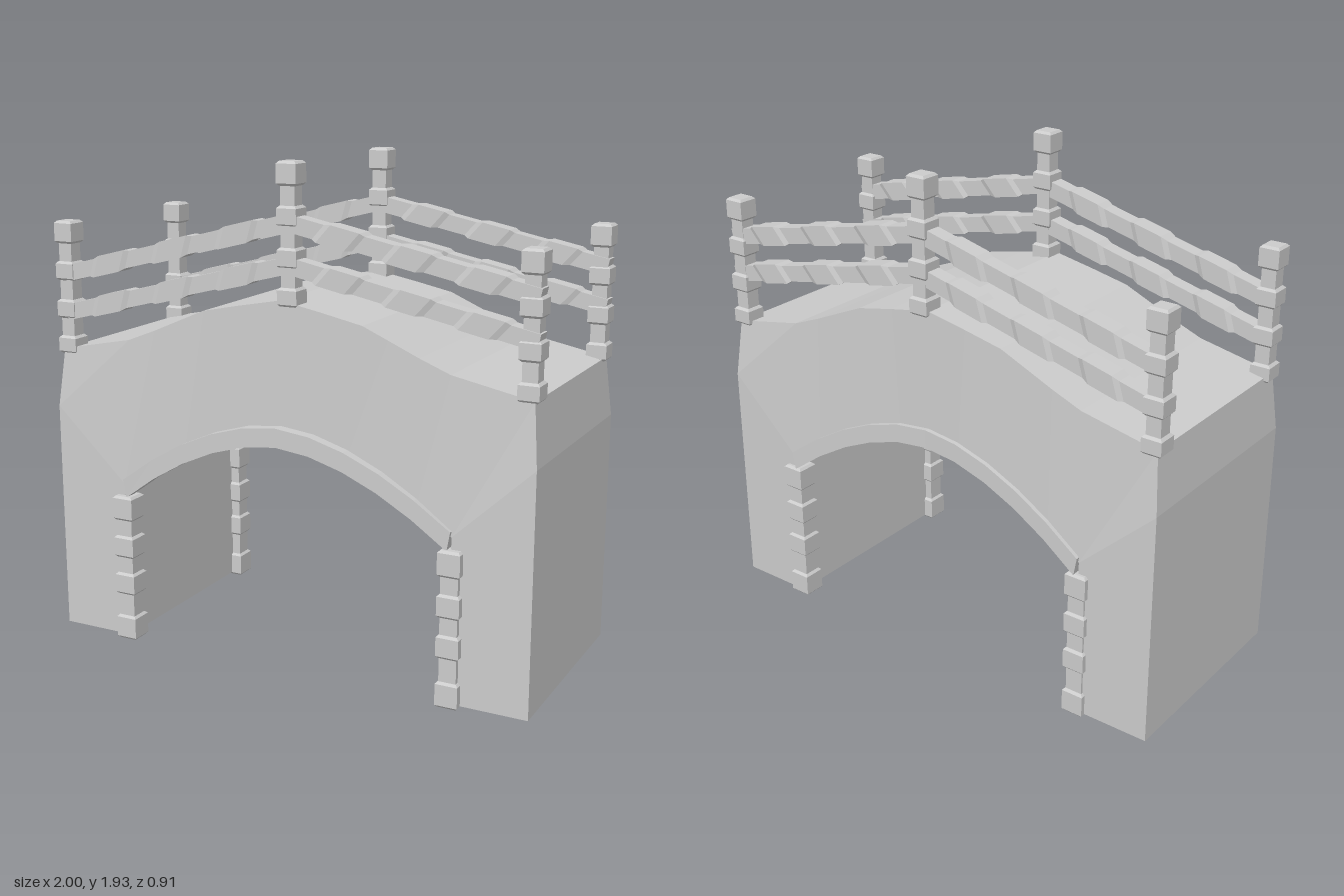
import * as THREE from 'three';

const mat = new THREE.MeshStandardMaterial({ color: 0xcccccc, flatShading: true });

// Arch curve from spring to spring, slightly pointed at the crown
const curve = (half, spring, crown) => Array.from({ length: 11 }, (_, i) => {
  const t = (i - 5) / 5;
  return [t * half, crown - (crown - spring) * Math.abs(t) ** 1.8];
});
const LEG = 0.695, FOOT = 0.01, HIP = 0.93;
const SOFFIT = curve(LEG, 0.645, 0.943);
const TRIM_OUT = curve(LEG, 0.667, 0.963);
const TRIM_IN = curve(0.682, 0.595, 0.89);
const DECK_HALF = [[-0.978, 1.162], [-0.67, 1.223], [-0.55, 1.27], [-0.43, 1.322], [-0.33, 1.365], [-0.17, 1.398], [0, 1.43]];
const DECK = [...DECK_HALF, ...DECK_HALF.slice(0, -1).reverse().map(([x, y]) => [-x, y])];

function add(parent, name, geometry) {
  const mesh = new THREE.Mesh(geometry, mat);
  mesh.name = name;
  parent.add(mesh);
  return mesh;
}

// Geometry from a list of four-cornered faces
function fromQuads(quads) {
  const g = new THREE.BufferGeometry();
  const pos = quads.flatMap(([a, b, c, d]) => [a, b, c, a, c, d].flat());
  g.setAttribute('position', new THREE.Float32BufferAttribute(pos, 3));
  g.computeVertexNormals();
  return g;
}

// Square bar along y from [halfWidth, y] pairs
function squareBar(profile) {
  const pts = profile.map(([h, y]) => new THREE.Vector2(h * Math.SQRT2, y));
  return new THREE.LatheGeometry(pts, 4, Math.PI / 4);
}

// Post with chamfered blocks; blocks are [bottom, top] pairs
function postGeometry(blocks, wide, thin) {
  const c = 0.009, p = [[0, blocks[0][0]]];
  blocks.forEach(([a, b], i) => {
    if (i) p.push([thin, a]);
    p.push([wide - c, a], [wide, a + c], [wide, b - c], [wide - c, b]);
    if (i < blocks.length - 1) p.push([thin, b]);
  });
  p.push([0, blocks[blocks.length - 1][1]]);
  return squareBar(p);
}

// Masonry body: walls swept around the outline, upright at the crown and leaning in at the ends
function bodyGeometry() {
  const lean = (x, y) => (y > 1.1 ? 0.025 : 0.018 * Math.max(0, 1 - (x / LEG) ** 2));
  const P = ([x, y], s) => [x, y, (s > 0 ? 0.427 : -0.44) - s * lean(x, y)];
  const outline = [[-1, FOOT], [-LEG, FOOT], ...SOFFIT, [LEG, FOOT], [1, FOOT], [1, HIP],
    ...[...DECK].reverse(), [-1, HIP]];
  const quads = outline.map((a, i) => {
    const b = outline[(i + 1) % outline.length];
    return [P(a, 1), P(a, -1), P(b, -1), P(b, 1)];
  });
  const face = (...q) => quads.push(q.map(p => P(p, 1)), q.map(p => P(p, -1)).reverse());
  face([-1, FOOT], [-LEG, FOOT], SOFFIT[0], [-1, HIP]);
  face([LEG, FOOT], [1, FOOT], [1, HIP], SOFFIT[SOFFIT.length - 1]);
  const low = [[-1, HIP], ...SOFFIT, [1, HIP]];
  for (let i = 0; i < low.length - 1; i++) face(low[i], low[i + 1], DECK[i + 1], DECK[i]);
  return fromQuads(quads);
}

// Thin raised trim following the arch, bowed slightly forwards at the crown
function trimGeometry() {
  const rings = TRIM_OUT.map((o, i) => {
    const n = TRIM_IN[i], z = 0.014 * (1 - (o[0] / LEG) ** 2);
    return [[...n, z + 0.045], [...o, z + 0.045], [...o, z], [...n, z]];
  });
  const last = rings.length - 1;
  const quads = [rings[0], [...rings[last]].reverse()];
  for (let i = 0; i < last; i++)
    for (let k = 0; k < 4; k++) {
      const m = (k + 1) % 4;
      quads.push([rings[i][k], rings[i + 1][k], rings[i + 1][m], rings[i][m]]);
    }
  return fromQuads(quads);
}

// Rail along +x with alternating thick and thin stretches and slanted steps
function railGeometry(length) {
  const n = 7, step = length / n, e = 0.012, p = [[0, 0]];
  for (let i = 0; i < n; i++) {
    const h = i % 2 ? 0.038 : 0.031;
    p.push([h, i * step + (i ? e : 0)], [h, (i + 1) * step - (i < n - 1 ? e : 0)]);
  }
  p.push([0, length]);
  const g = squareBar(p).rotateZ(-Math.PI / 2);
  const a = g.attributes.position;
  for (let i = 0; i < a.count; i++) {
    const x = a.getX(i);
    if (x > 0.05 && x < length - 0.05) a.setX(i, x + a.getY(i) * 0.6);
  }
  return g;
}

export function createModel() {
  const model = new THREE.Group();
  model.name = 'archedBridge';
  add(model, 'bridgeBody', bodyGeometry());

  const legPost = postGeometry([[0, 0.1], [0.19, 0.28], [0.345, 0.435], [0.5, 0.6]], 0.044, 0.034);
  const railPost = postGeometry([[0, 0.07], [0.14, 0.215], [0.29, 0.365], [0.435, 0.523]], 0.04, 0.029);

  for (const [side, s, zRail] of [['front', 1, 0.37], ['back', -1, -0.392]]) {
    add(model, side + 'ArchTrim', trimGeometry()).position.z = s > 0 ? 0.395 : -0.454;

    // Quoin posts at the arch feet
    for (const x of [-0.692, 0.697])
      add(model, side + 'ArchPost', legPost).position.set(x, 0, s > 0 ? 0.412 : -0.415);

    // Railing
    const railing = new THREE.Group();
    railing.name = side + 'Railing';
    railing.position.z = zRail;
    model.add(railing);
    for (const [x, y] of [[-0.96, 1.143], [0.03, 1.407], [0.955, 1.155]])
      add(railing, 'railPost', railPost).position.set(x, y, 0);
    for (const drop of [0, 0.153])
      for (const [x0, y0, x1, y1] of [[-0.96, 1.46, 0.03, 1.712], [0.03, 1.712, 0.985, 1.517]]) {
        const rail = add(railing, 'rail', railGeometry(Math.hypot(x1 - x0, y1 - y0)));
        rail.position.set(x0, y0 - drop, 0.004);
        rail.rotation.z = Math.atan2(y1 - y0, x1 - x0);
      }
  }
  return model;
}
